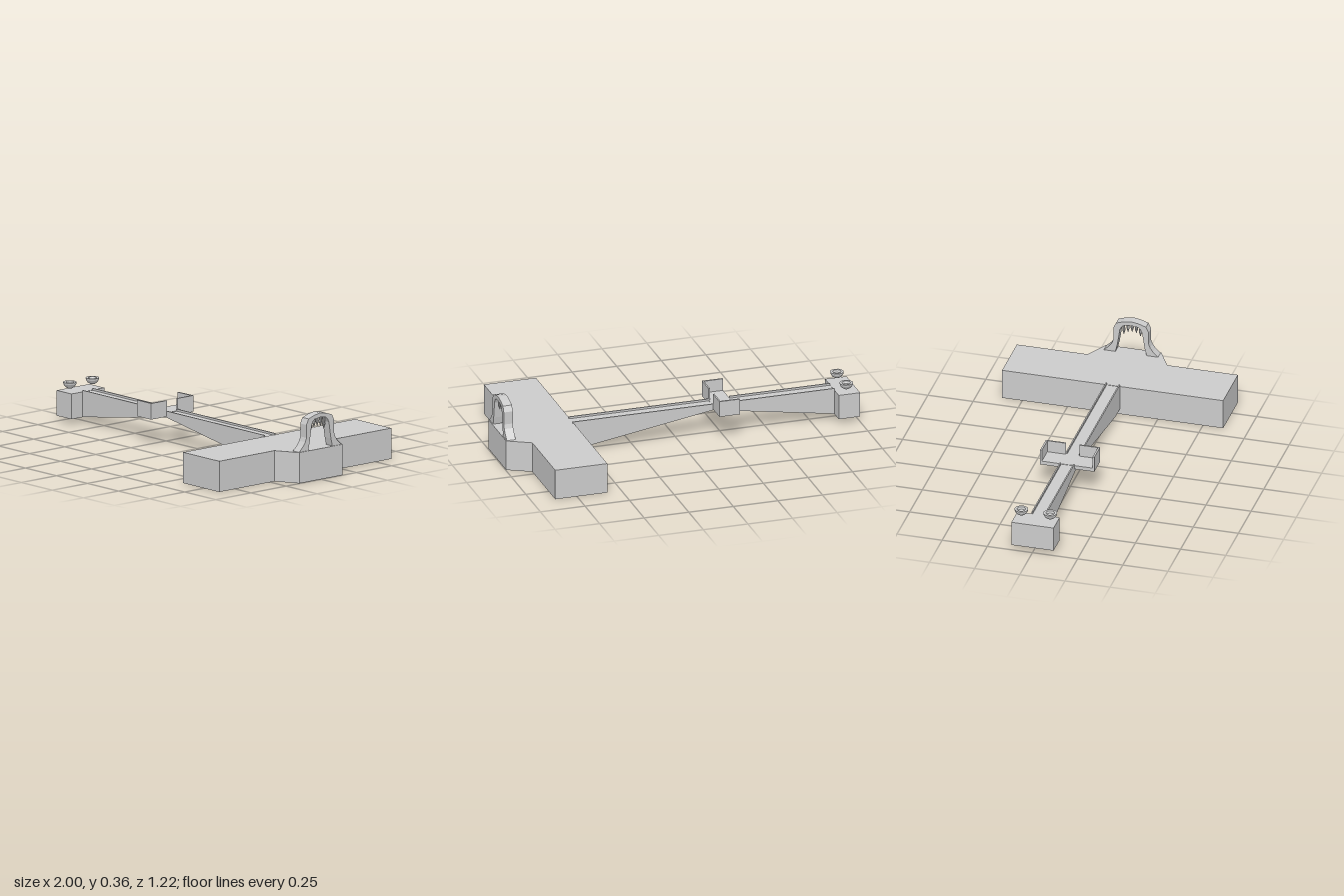
import * as THREE from 'three';

const material = new THREE.MeshStandardMaterial({ color: 0xcccccc, flatShading: true, side: THREE.DoubleSide });

export function createModel() {
  const model = new THREE.Group();

  const add = (name, geometry) => {
    const mesh = new THREE.Mesh(geometry, material);
    mesh.name = name;
    model.add(mesh);
    return mesh;
  };

  // Box given by its minimum and maximum on each axis
  const box = (name, x0, x1, y0, y1, z0, z1) => {
    const mesh = add(name, new THREE.BoxGeometry(x1 - x0, y1 - y0, z1 - z0));
    mesh.position.set((x0 + x1) / 2, (y0 + y1) / 2, (z0 + z1) / 2);
    return mesh;
  };

  const extrude = (points, depth) => new THREE.ExtrudeGeometry(
    new THREE.Shape(points.map(([a, b]) => new THREE.Vector2(a, b))),
    { depth, bevelEnabled: false });

  // Wide platform with a tapered gate apron, drawn in plan and raised upright
  const platform = extrude([
    [0.58, -0.612], [0.872, -0.612], [0.872, -0.22], [0.997, -0.153],
    [0.997, 0.153], [0.872, 0.22], [0.872, 0.612], [0.58, 0.612],
  ], 0.168);
  platform.rotateX(-Math.PI / 2);
  add('platform', platform);

  // Bridge with an arched underside
  const bridge = extrude([
    [-0.88, 0.03], [-0.2, 0.142], [0.49, 0.03], [0.58, 0.03],
    [0.58, 0.166], [-0.88, 0.166],
  ], 0.08);
  bridge.translate(0, 0, -0.04);
  add('bridge', bridge);

  // End block
  box('endBlock', -1, -0.88, 0.03, 0.168, -0.117, 0.117);

  // Floor joining the two side bays
  box('bayFloor', -0.315, -0.2, 0.147, 0.168, -0.15, 0.15);

  const bowlProfile = [
    [0, 0.185], [0.014, 0.187], [0.027, 0.196], [0.035, 0.209], [0.037, 0.22],
    [0.023, 0.22], [0.018, 0.208], [0, 0.204],
  ].map(([r, y]) => new THREE.Vector2(r, y));

  for (const side of [-1, 1]) {
    const mirrored = (name, x0, x1, y0, y1, za, zb) => box(name, x0, x1, y0, y1,
      Math.min(side * za, side * zb), Math.max(side * za, side * zb));

    // Low kerbs, interrupted at the bays
    mirrored('bridgeKerb', -0.88, -0.315, 0.166, 0.177, 0.033, 0.04);
    mirrored('bridgeKerb', -0.2, 0.585, 0.166, 0.177, 0.033, 0.04);

    // Bay walls: outer side and the side towards the platform
    mirrored('bayOuterWall', -0.315, -0.2, 0.168, 0.235, 0.14, 0.15);
    mirrored('bayEndWall', -0.208, -0.2, 0.168, 0.235, 0.038, 0.14);

    // Floating bowl above the end block
    const bowl = add('bowl', new THREE.LatheGeometry(bowlProfile, 12));
    bowl.position.set(-0.934, 0, side * 0.08);
  }

  // Gate arch: one half outline, mirrored to a full one
  const outer = [[0.15, 0.168], [0.122, 0.195], [0.106, 0.217], [0.098, 0.24],
    [0.098, 0.31], [0.083, 0.341], [0.042, 0.355]];
  const inner = [[0.04, 0.333], [0.052, 0.322], [0.062, 0.302], [0.068, 0.26],
    [0.076, 0.21], [0.086, 0.168]];
  const flip = (points) => points.map(([z, y]) => [-z, y]).reverse();
  const arch = extrude([
    ...outer, [0, 0.362], ...flip(outer), ...flip(inner), [0, 0.338], ...inner,
  ], 0.05);
  arch.rotateY(Math.PI / 2);
  arch.translate(0.942, 0, 0);
  add('gateArch', arch);

  // Spikes hanging inside the arch
  const spikeProfile = [[0, 0], [0.009, 0.028], [0.005, 0.066], [0, 0.066]]
    .map(([r, y]) => new THREE.Vector2(r, y));
  for (let i = -2; i <= 2; i++) {
    const spike = add('spike', new THREE.LatheGeometry(spikeProfile, 8));
    spike.position.set(0.967, 0.285 - 0.005 * i * i, i * 0.023);
  }

  return model;
}
